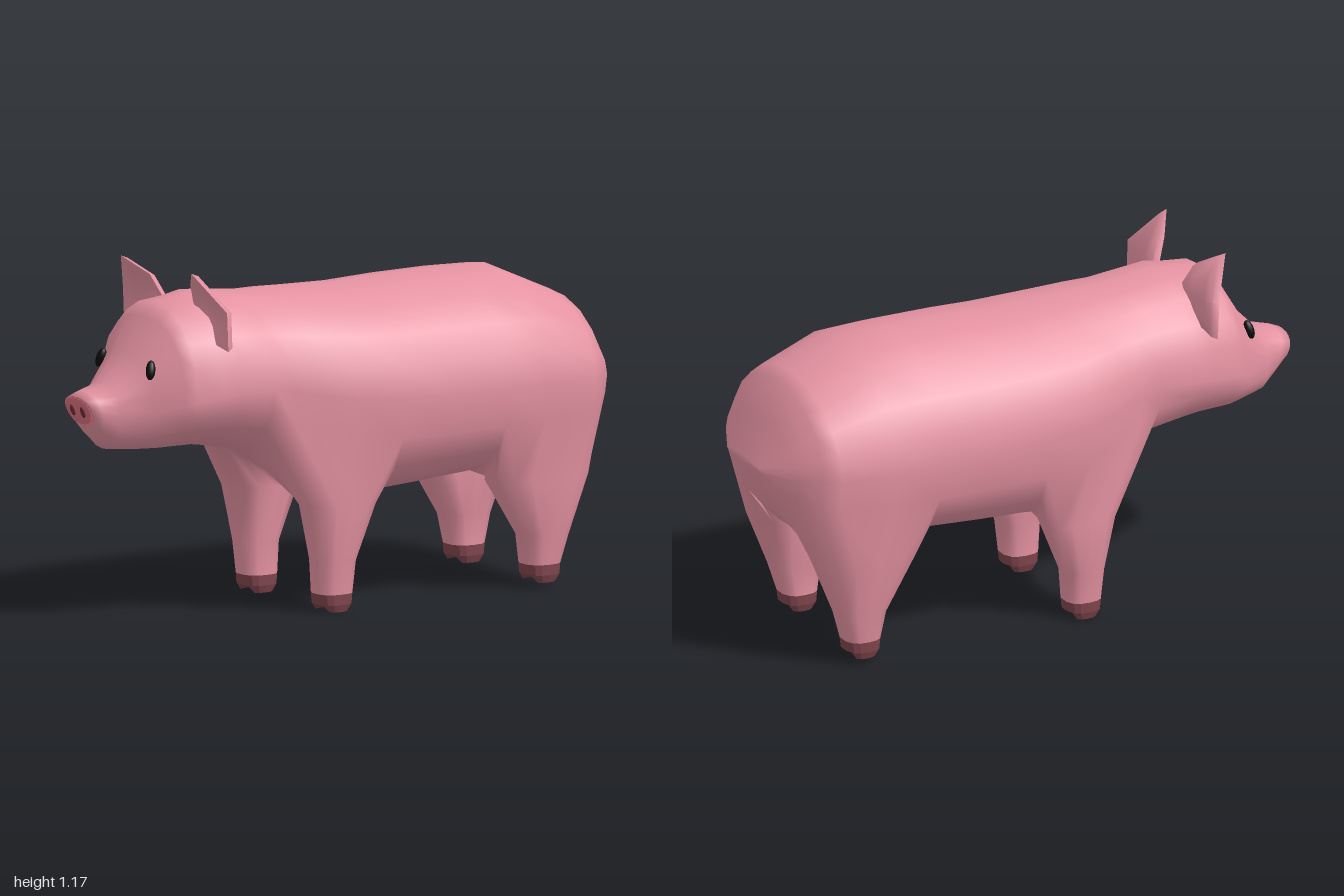
import * as THREE from 'three';
import { toCreasedNormals } from 'three/addons/utils/BufferGeometryUtils.js';

const paint = (color, flatShading = false) => new THREE.MeshStandardMaterial({ color, flatShading });
const skin = paint(0xe492a1);
const hoofPaint = paint(0x7d444c, true);
const snoutPaint = paint(0xd56f7c);
const black = paint(0x0c0c0c);
const nostrilPaint = paint(0x6a2c34);

const SIDES = 20; // points round each body section

// Two triangles between neighbours a, b on one ring and c, d on the next
const quad = (index, a, b, c, d) => index.push(a, b, c, b, d, c);

// Close the end of a ring that starts at the given point with a fan
function cap(pts, index, start, n, flip) {
  const centre = new THREE.Vector3();
  for (let i = 0; i < n; i++) centre.addScaledVector(pts[start + i], 1 / n);
  const c = pts.push(centre) - 1;
  for (let i = 0; i < n; i++) {
    const a = start + i, b = start + (i + 1) % n;
    index.push(c, flip ? b : a, flip ? a : b);
  }
}

// Geometry with its faces turned outward whichever way the rings run
function solid(pts, index) {
  const cross = new THREE.Vector3();
  let volume = 0;
  for (let i = 0; i < index.length; i += 3) {
    volume += pts[index[i]].dot(cross.crossVectors(pts[index[i + 1]], pts[index[i + 2]]));
  }
  if (volume < 0) index.reverse();
  const geo = new THREE.BufferGeometry().setFromPoints(pts);
  geo.setIndex(index);
  geo.computeVertexNormals();
  return geo;
}

// Closed surface over rings of equal point count
function loft(rings) {
  const n = rings[0].length;
  const pts = rings.flat();
  const index = [];
  for (let r = 0; r < rings.length - 1; r++) {
    for (let i = 0; i < n; i++) {
      const a = r * n + i, b = r * n + (i + 1) % n;
      quad(index, a, b, a + n, b + n);
    }
  }
  cap(pts, index, 0, n, true);
  cap(pts, index, (rings.length - 1) * n, n, false);
  return solid(pts, index);
}

// Upright body section; lean pushes its lower edge backward
function bodyRing([x, bottom, mid, top, halfWidth, topPower = 2, lowPower = 2, lean = 0]) {
  return Array.from({ length: SIDES }, (_, i) => {
    const angle = (i / SIDES) * Math.PI * 2;
    const power = i > SIDES / 2 ? lowPower : topPower;
    const round = (v) => Math.sign(v) * Math.abs(v) ** (2 / power);
    const s = round(Math.sin(angle));
    const y = mid + s * (s > 0 ? top - mid : mid - bottom);
    return new THREE.Vector3(x + lean * (top - y) / (top - bottom), y, round(Math.cos(angle)) * halfWidth);
  });
}

// Walk round a square patch 4 sections long and 3 points wide
const PATCH = [];
for (let v = 0; v < 3; v++) PATCH.push([0, v]);
for (let u = 0; u < 4; u++) PATCH.push([u, 3]);
for (let v = 3; v > 0; v--) PATCH.push([4, v]);
for (let u = 4; u > 0; u--) PATCH.push([u, 0]);

// Level leg section: the patch outline rounded into x0..x1 and z0..z1
function legRing([y, x0, x1, z0, z1], side, notch = 0) {
  return PATCH.map(([pu, pv]) => {
    const u = pu / 2 - 1, v = pv / 1.5 - 1;
    const k = (Math.abs(u) ** 2.6 + Math.abs(v) ** 2.6) ** (-1 / 2.6);
    return new THREE.Vector3((x0 + x1 + u * k * (x1 - x0)) / 2, y + notch * (1 - Math.abs(v)),
      (side * (z0 + z1) + v * k * (z1 - z0)) / 2);
  });
}

// x, bottom, widest height, top, half width, squareness above and below, lean
const BODY = [
  [-1.0, 0.665, 0.72, 0.765, 0.08, 2.2, 2.2, 0.035],
  [-0.965, 0.615, 0.71, 0.78, 0.088, 2.3, 2.3, 0.04],
  [-0.89, 0.58, 0.70, 0.80, 0.112, 2.4, 2.3],
  [-0.80, 0.573, 0.71, 0.895, 0.175, 2.5, 2.2],
  [-0.73, 0.57, 0.74, 1.01, 0.25, 2.3],
  [-0.69, 0.57, 0.75, 1.055, 0.262, 2.2],
  [-0.60, 0.57, 0.76, 1.065, 0.28, 2.1],
  [-0.53, 0.56, 0.77, 1.08, 0.29],
  [-0.40, 0.535, 0.77, 1.067, 0.292],
  [-0.33, 0.50, 0.76, 1.06, 0.295, 2, 2.2],
  [-0.24, 0.45, 0.74, 1.06, 0.318, 2, 2.4],
  [-0.12, 0.39, 0.72, 1.055, 0.35, 2, 2.5],
  [0.06, 0.355, 0.71, 1.05, 0.374, 2, 2.5],
  [0.25, 0.368, 0.70, 1.058, 0.377, 2, 2.5],
  [0.46, 0.385, 0.70, 1.06, 0.381, 2, 2.5],
  [0.62, 0.415, 0.70, 1.055, 0.38, 2, 2.5],
  [0.82, 0.43, 0.70, 0.967, 0.36, 2, 2.5],
  [0.87, 0.45, 0.70, 0.945, 0.322, 2, 2.4],
  [0.93, 0.52, 0.69, 0.83, 0.26, 2, 2.3],
  [0.995, 0.67, 0.685, 0.70, 0.125],
];

// First body section of each leg, then y, x0, x1, z0, z1 down to the ankle
const LEGS = {
  front: { section: 8, rows: [
    [0.36, -0.25, 0.015, 0.13, 0.332],
    [0.17, -0.21, -0.06, 0.16, 0.298],
    [0.06, -0.20, -0.07, 0.16, 0.287]] },
  rear: { section: 14, rows: [
    [0.37, 0.485, 0.855, 0.12, 0.343],
    [0.18, 0.60, 0.78, 0.16, 0.307],
    [0.08, 0.62, 0.75, 0.16, 0.29]] },
};

// One skin for body and legs: each leg grows out of a hole in the belly
function bodySkin() {
  const pts = BODY.flatMap(bodyRing);
  const index = [];
  const holes = new Set();
  for (const { section, rows } of Object.values(LEGS)) {
    for (const [side, firstColumn] of [[1, 16], [-1, 11]]) {
      for (let u = 0; u < 4; u++) {
        for (let v = 0; v < 3; v++) holes.add((section + u) * SIDES + firstColumn + v);
      }
      let loop = PATCH.map(([u, v]) => (section + u) * SIDES + firstColumn + v);
      for (const row of rows) {
        const next = legRing(row, side).map((p) => pts.push(p) - 1);
        loop.forEach((a, i) => {
          const j = (i + 1) % loop.length;
          quad(index, a, loop[j], next[i], next[j]);
        });
        loop = next;
      }
    }
  }
  for (let r = 0; r < BODY.length - 1; r++) {
    for (let i = 0; i < SIDES; i++) {
      const a = r * SIDES + i, b = r * SIDES + (i + 1) % SIDES;
      if (!holes.has(a)) quad(index, a, b, a + SIDES, b + SIDES);
    }
  }
  cap(pts, index, 0, SIDES, true);
  cap(pts, index, (BODY.length - 1) * SIDES, SIDES, false);
  return solid(pts, index);
}

// Ear rim
const EAR = [[-0.59, 1.04, 0.09], [-0.625, 1.12, 0.12], [-0.68, 1.175, 0.21],
  [-0.605, 1.05, 0.31], [-0.60, 0.92, 0.31], [-0.595, 0.94, 0.18]];

export function createModel() {
  const pig = new THREE.Group();
  pig.name = 'pig';
  const add = (name, geometry, material) => {
    const mesh = new THREE.Mesh(geometry, material);
    mesh.name = name;
    pig.add(mesh);
    return mesh;
  };

  add('bodyAndLegs', bodySkin(), skin);

  // Flat nose plate, just proud of the muzzle
  const nose = bodyRing(BODY[0]);
  const plateFace = nose.map((p) => p.clone().lerp(new THREE.Vector3(-0.985, 0.715, 0), 0.12)
    .add(new THREE.Vector3(-0.005, 0, 0)));
  add('snoutPlate', loft([nose, plateFace]), snoutPaint);

  for (const side of [1, -1]) {
    const label = side > 0 ? 'Near' : 'Far';

    // Cloven hooves, the last ring closing up into the cleft
    for (const [end, { rows }] of Object.entries(LEGS)) {
      const [y, x0, x1, z0, z1] = rows[rows.length - 1];
      const z = (z0 + z1) / 2;
      add(`${end}Hoof${label}`, loft([
        legRing([y, x0, x1, z0, z1], side),
        legRing([y - 0.035, x0 + 0.004, x1 - 0.004, z0, z1], side),
        legRing([y - 0.06, x0 + 0.02, x1 - 0.02, z0 + 0.008, z1 - 0.008], side, 0.03),
        legRing([y - 0.035, x0 + 0.022, x1 - 0.022, z - 0.004, z + 0.004], side),
      ]), hoofPaint);
    }

    // Cupped ears: hollow, rim, then rounded back
    const centre = new THREE.Vector3(-0.61, 1.04, side * 0.21);
    const rim = EAR.map(([x, y, z]) => new THREE.Vector3(x, y, side * z));
    const inset = (amount, dx) => rim.map((p) => p.clone().lerp(centre, amount)
      .add(new THREE.Vector3(dx, 0, 0)));
    const ear = loft([inset(0.5, 0.02), inset(0.1, 0), rim, inset(0.08, 0.022), inset(0.5, 0.034)]);
    add(`ear${label}`, toCreasedNormals(ear, 1.1), skin);

    // Eyes
    const eye = add(`eye${label}`, new THREE.SphereGeometry(1, 14, 10), black);
    eye.scale.set(0.016, 0.033, 0.016);
    eye.position.set(-0.80, 0.855, side * 0.148);
    eye.rotation.set(-side * 0.25, 0, -0.25);

    // Nostrils
    const nostril = add(`nostril${label}`, new THREE.SphereGeometry(1, 10, 8), nostrilPaint);
    nostril.scale.set(0.005, 0.02, 0.012);
    nostril.position.set(-0.99, 0.715, side * 0.03);
    nostril.rotation.z = 0.33;
  }
  return pig;
}
